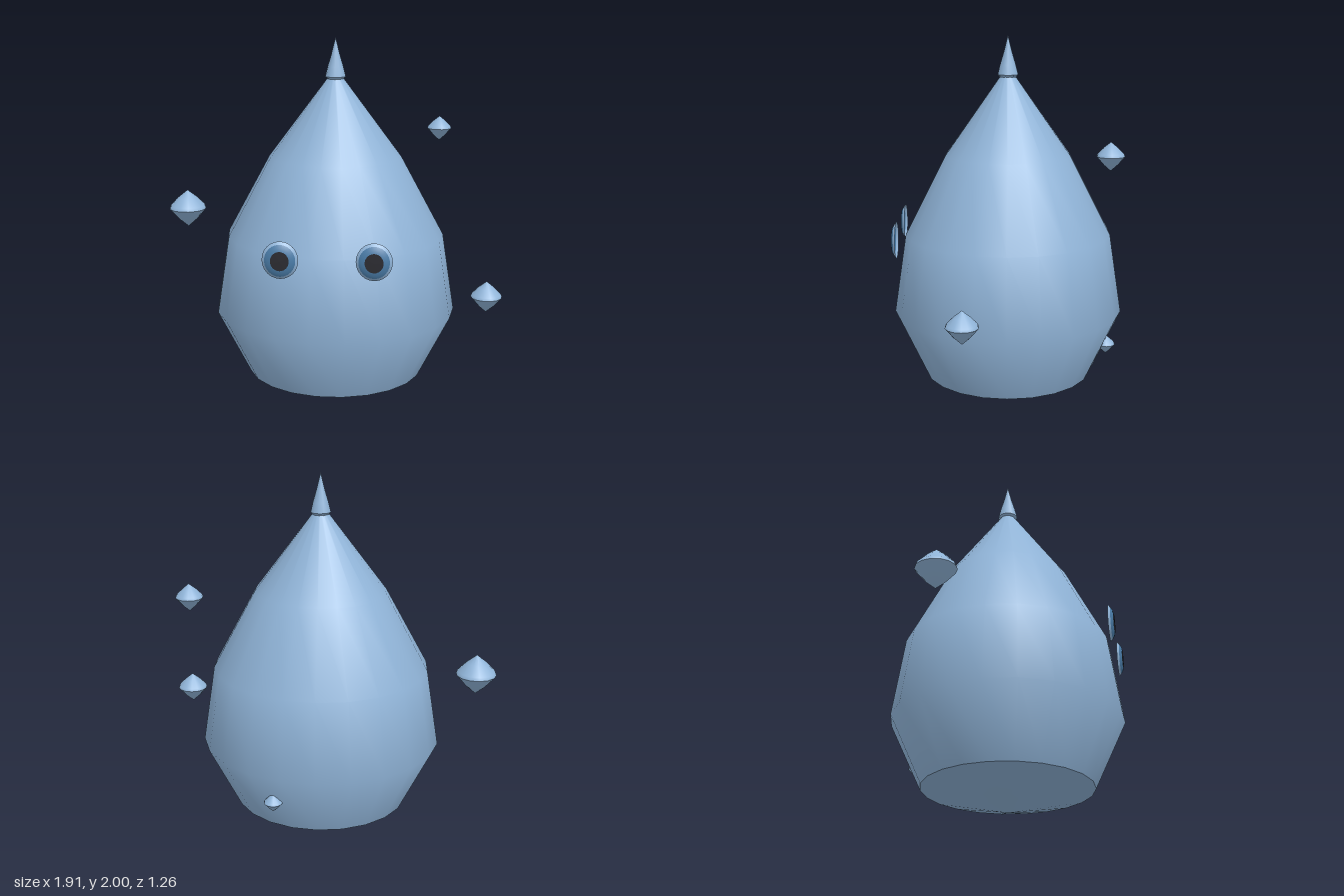
import * as THREE from 'three';

const material = (name, color, side = THREE.FrontSide) => {
  const m = new THREE.MeshStandardMaterial({ color, side });
  m.name = name;
  return m;
};

export function createModel() {
  const blue = material('pale blue', 0x90b4d8, THREE.DoubleSide);
  const irisBlue = material('deep blue', 0x4a7ca8, THREE.DoubleSide);
  const black = material('pupil black', 0x2a2a30, THREE.DoubleSide);
  const model = new THREE.Group();

  // Turned surface; profile pairs are [radius, height] from bottom to top
  const lathe = (name, profile, segments, mat, parent) => {
    const points = profile.map(([r, y]) => new THREE.Vector2(r, y));
    const mesh = new THREE.Mesh(new THREE.LatheGeometry(points, segments, Math.PI / 2), mat);
    mesh.name = name;
    parent.add(mesh);
    return mesh;
  };

  // Drop-shaped body, slightly flattened front to back
  const body = new THREE.Group();
  body.name = 'body';
  body.position.x = 0.027;
  body.scale.z = 0.945;
  model.add(body);
  lathe('underside', [[0, 0], [0.05, 0.004], [0.492, 0.115]], 22, blue, body);
  lathe('shell', [[0.492, 0.115], [0.672, 0.48], [0.602, 0.915], [0.365, 1.35], [0.035, 1.79]], 22, blue, body);

  // Pointed tip with a small collar
  const tip = new THREE.Group();
  tip.name = 'tip';
  tip.position.x = 0.027;
  model.add(tip);
  lathe('tipCollar', [[0, 1.77], [0.042, 1.77], [0.056, 1.787]], 12, blue, tip);
  lathe('tipSpike', [[0.056, 1.787], [0.043, 1.84], [0.022, 1.91], [0, 2]], 12, blue, tip);

  // Eyes: thin raised discs just in front of the body
  for (const [name, x] of [['rightEye', -0.213], ['leftEye', 0.267]]) {
    const eye = new THREE.Group();
    eye.name = name;
    eye.position.set(x, 0.92, 0.596);
    eye.rotation.x = Math.PI / 2;
    eye.scale.z = 1.06;
    lathe('eyeRim', [[0.094, 0], [0.08, 0.012]], 24, blue, eye);
    lathe('iris', [[0.08, 0.012], [0.065, 0.022], [0.048, 0.026]], 24, irisBlue, eye);
    lathe('pupil', [[0.048, 0.026], [0, 0.027]], 24, black, eye);
    model.add(eye);
  }

  // Floating droplets: x, y, z, radius
  const droplets = [
    [-0.85, 0.99, -0.187, 0.107],
    [0.61, 1.428, -0.513, 0.071],
    [0.865, 0.625, 0.217, 0.085],
    [0.18, 0.308, -0.545, 0.051],
  ];
  for (const [x, y, z, r] of droplets) {
    const drop = new THREE.Group();
    drop.name = 'droplet';
    drop.position.set(x, y, z);
    drop.scale.setScalar(r);
    lathe('dropletBottom', [[0, -1.02], [0.48, -0.6], [1, 0]], 14, blue, drop);
    lathe('dropletTop', [[1, 0], [0.94, 0.17], [0.52, 0.6], [0, 1.02]], 14, blue, drop);
    model.add(drop);
  }

  return model;
}
